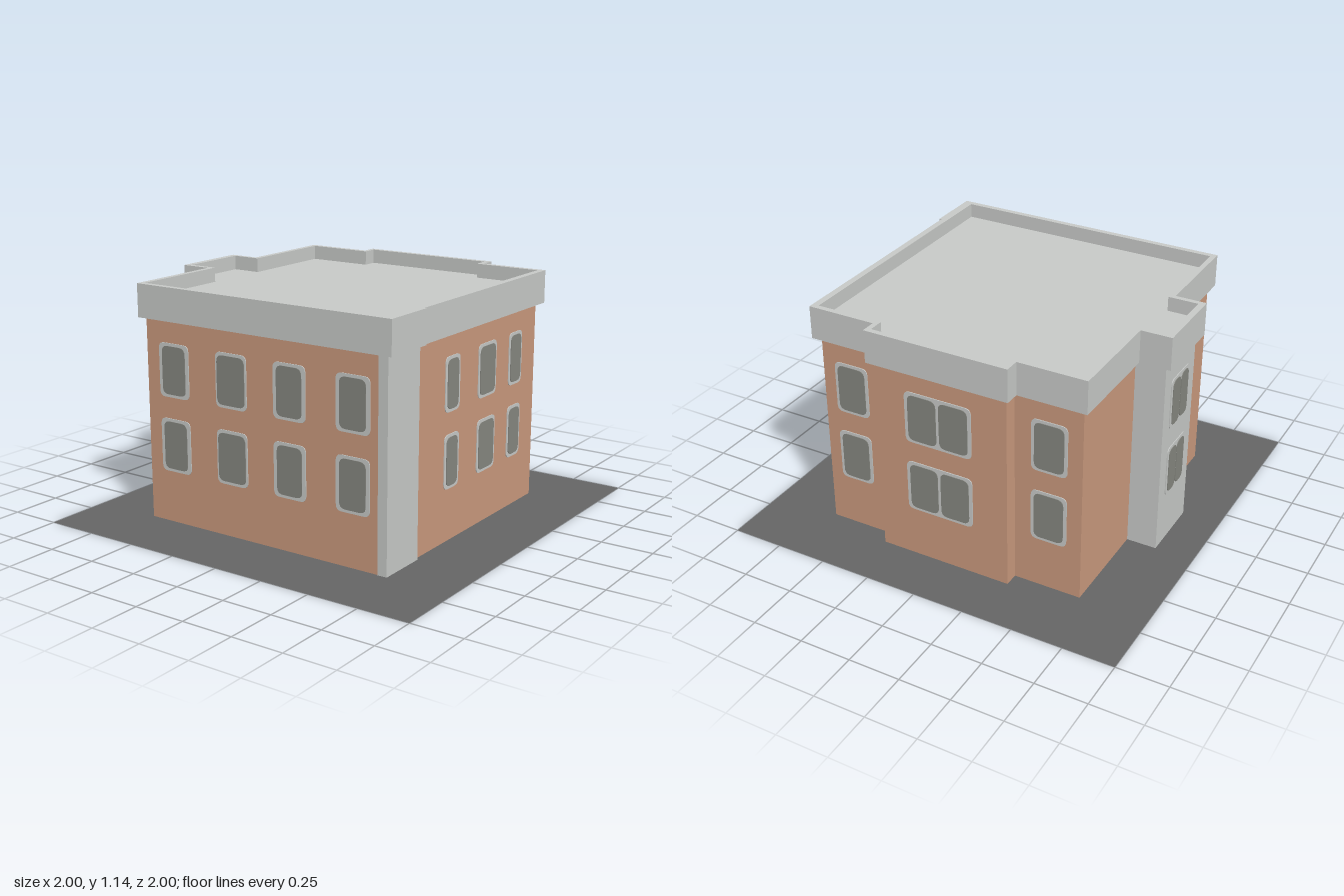
import * as THREE from 'three';

const mat = (name, color, side = THREE.FrontSide) => {
  const m = new THREE.MeshStandardMaterial({ color, side });
  m.name = name;
  return m;
};

export function createModel() {
  const brick = mat('brick', 0xc9997d);
  const stone = mat('stone', 0xc7c9c7);
  const glass = mat('windowGlass', 0x85867f);
  const paving = mat('paving', 0x656565, THREE.DoubleSide);

  const model = new THREE.Group();
  model.name = 'building';

  const add = (name, geometry, material, parent = model) => {
    const mesh = new THREE.Mesh(geometry, material);
    mesh.name = name;
    parent.add(mesh);
    return mesh;
  };

  // Prism over a floor plan given as [x, z] corners
  const points = (plan) => plan.map(([x, z]) => new THREE.Vector2(x, -z));
  const prism = (plan, y0, y1, hole) => {
    const shape = new THREE.Shape(points(plan));
    if (hole) shape.holes.push(new THREE.Path(points(hole)));
    return new THREE.ExtrudeGeometry(shape, { depth: y1 - y0, bevelEnabled: false })
      .rotateX(-Math.PI / 2).translate(0, y0, 0);
  };
  const rect = (x0, x1, z0, z1) => [[x0, z1], [x1, z1], [x1, z0], [x0, z0]];

  // Ground sheet
  add('ground', new THREE.PlaneGeometry(2, 2).rotateX(-Math.PI / 2), paving);

  // Walls: main block with a shallow projection at the back
  const base = 0.002, eaves = 0.98;
  add('walls', prism([
    [-0.665, 0.665], [0.662, 0.665], [0.662, -0.665], [0.328, -0.665],
    [0.328, -0.735], [-0.335, -0.735], [-0.335, -0.665], [-0.665, -0.665],
  ], base, eaves), brick);
  add('sideBay', prism(rect(-0.812, -0.66, -0.165, 0.165), base, eaves), stone);
  add('cornerPier', prism(rect(0.627, 0.675, 0.42, 0.668), base, eaves), stone);

  // Parapet ring and the sunken roof deck inside it
  const inner = [
    [-0.667, 0.662], [0.662, 0.662], [0.662, -0.668], [0.33, -0.668],
    [0.33, -0.742], [-0.338, -0.742], [-0.338, -0.668], [-0.667, -0.668],
    [-0.667, -0.17], [-0.812, -0.17], [-0.812, 0.165], [-0.667, 0.165],
  ];
  const outer = [
    [-0.693, 0.69], [0.705, 0.69], [0.705, 0.42], [0.694, 0.42],
    [0.694, -0.694], [0.355, -0.694], [0.355, -0.768], [-0.36, -0.768],
    [-0.36, -0.694], [-0.693, -0.694], [-0.693, -0.19], [-0.843, -0.19],
    [-0.843, 0.19], [-0.693, 0.19],
  ];
  add('parapet', prism(outer, eaves, 1.14, inner), stone);
  add('roofDeck', prism(inner, eaves, 1.07), stone);

  // Thin plate with rounded corners, facing +z
  const plate = (w, h, r, depth) => {
    const x = w / 2, y = h / 2;
    const s = new THREE.Shape();
    s.moveTo(-x + r, -y);
    s.lineTo(x - r, -y);
    s.quadraticCurveTo(x, -y, x, -y + r);
    s.lineTo(x, y - r);
    s.quadraticCurveTo(x, y, x - r, y);
    s.lineTo(-x + r, y);
    s.quadraticCurveTo(-x, y, -x, y - r);
    s.lineTo(-x, -y + r);
    s.quadraticCurveTo(-x, -y, -x + r, -y);
    return new THREE.ExtrudeGeometry(s, { depth, bevelEnabled: false, curveSegments: 5 });
  };

  // Window with a frame and one or more panes at [offset, width]
  const addWindow = (x, y, z, turn, width, panes) => {
    const win = new THREE.Group();
    win.name = 'window';
    win.position.set(x, y, z);
    win.rotation.y = turn;
    add('windowFrame', plate(width, 0.258, 0.03, 0.004), stone, win);
    for (const [offset, w] of panes) {
      add('windowPane', plate(w, 0.23, 0.032, 0.007), glass, win).position.x = offset;
    }
    model.add(win);
  };

  // Two storeys of windows on every side
  for (const y of [0.383, 0.745]) {
    for (const [x, w] of [[-0.502, 0.137], [-0.165, 0.157], [0.161, 0.137], [0.498, 0.137]])
      addWindow(x, y, 0.665, 0, 0.176, [[0, w]]);
    for (const [z, w, pane] of [[0.122, 0.126, 0.095], [-0.193, 0.166, 0.14], [-0.465, 0.126, 0.1]])
      addWindow(0.662, y, z, Math.PI / 2, w, [[0, pane]]);
    for (const x of [-0.505, 0.51])
      addWindow(x, y, -0.665, Math.PI, 0.176, [[0, 0.145]]);
    addWindow(0.01, y, -0.735, Math.PI, 0.34, [[-0.08, 0.145], [0.08, 0.145]]);
    addWindow(-0.812, y, 0.005, -Math.PI / 2, 0.2, [[-0.044, 0.08], [0.044, 0.08]]);
  }

  return model;
}
